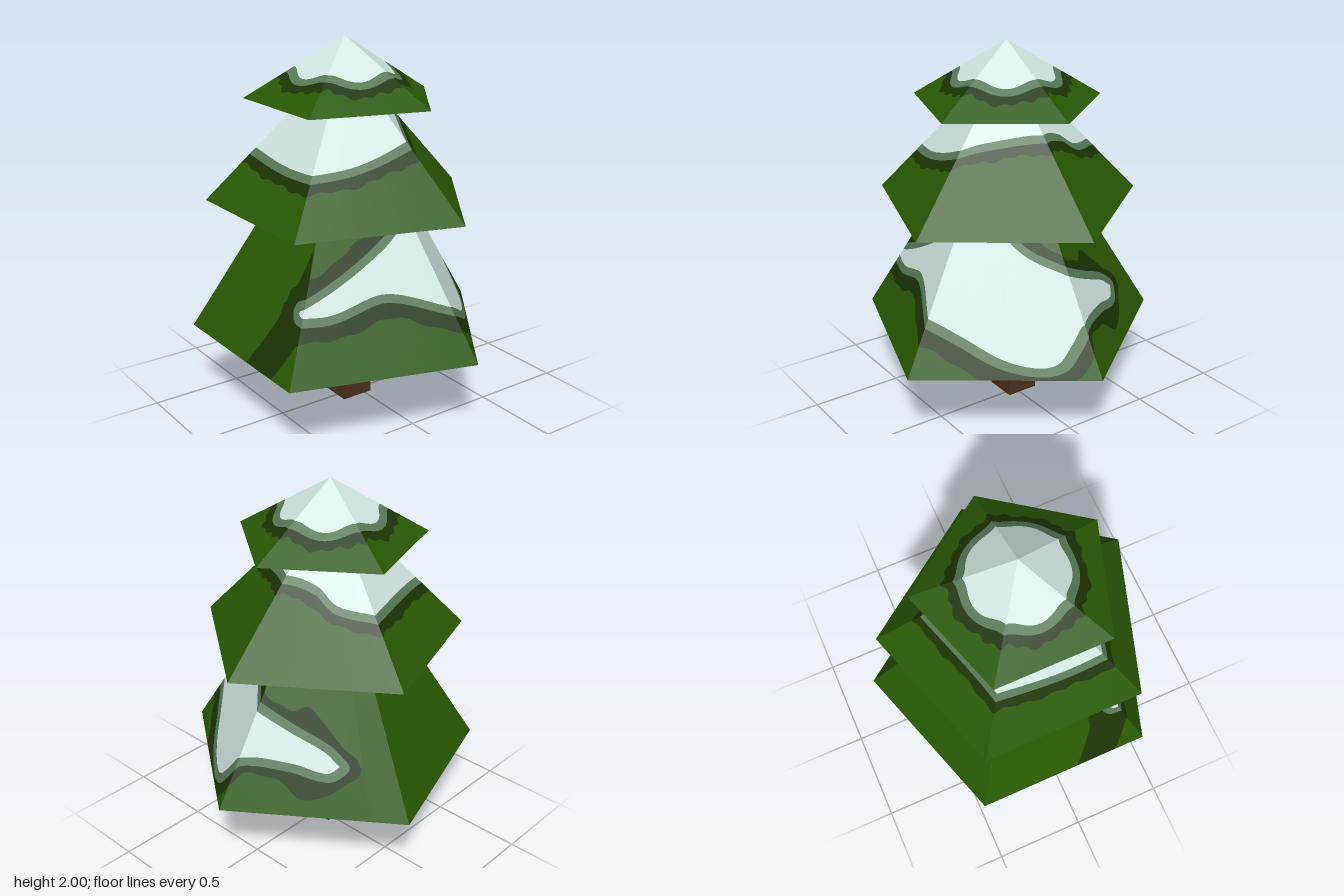
import * as THREE from 'three';

const paint = (name, color) => Object.assign(new THREE.MeshStandardMaterial({ color }), { name });
const mats = {
  needles: paint('needle green', 0x295a03),
  shade: paint('dark green', 0x1b3505),
  frost: paint('frosted green', 0x587a58),
  snow: paint('snow', 0xd3e8e3),
  bark: paint('bark brown', 0x4e301b),
};
const layers = ['needles', 'shade', 'frost', 'snow'];
const AXIS = -0.08;
const STEPS = 60;

// Smooth height along the tier's outline; s = face number + share of the face, from -1 to 4.
// Where the curve does not run it gives the fallback.
const curve = (points, none) => {
  const slopes = points.map((p, i) => {
    const [a, ya] = points[Math.max(i - 1, 0)], [b, yb] = points[Math.min(i + 1, points.length - 1)];
    return (yb - ya) / (b - a);
  });
  return (s) => {
    for (let i = 1; i < points.length; i++) {
      const [a, ya] = points[i - 1], [b, yb] = points[i];
      if (s < a || s > b) continue;
      const w = b - a, u = (s - a) / w, v = 1 - u;
      return v * v * (1 + 2 * u) * ya + u * u * (1 + 2 * v) * yb
        + w * u * v * (v * slopes[i - 1] - u * slopes[i]);
    }
    return none;
  };
};

// Snow edges: a patch on the front faces, then two caps with a wavy rim
const patchLow = curve([[-0.65, 0.65], [-0.57, 0.615], [-0.35, 0.65], [0, 0.66], [0.1, 0.58], [0.21, 0.485],
  [0.33, 0.465], [0.51, 0.5], [0.75, 0.6], [1, 0.685], [1.42, 0.78], [1.81, 0.715], [2.05, 0.72]], Infinity);
const patchHigh = curve([[-0.65, 0.65], [-0.56, 0.71], [-0.31, 0.79], [0, 0.88], [0.3, 0.96], [0.6, 1.08],
  [1, 1.1], [1.36, 0.98], [1.86, 0.8], [2.05, 0.74]], -Infinity);
const middleRim = curve([[-1, 1.43], [-0.65, 1.46], [-0.45, 1.53], [0, 1.57], [0.75, 1.535],
  [1, 1.505], [1.62, 1.416], [2, 1.395], [2.43, 1.39], [3.2, 1.425], [4, 1.43]], Infinity);
const topRim = (s) => 1.823 + 0.018 * Math.cos(s * 2 * Math.PI);

// Width of the dark ring round the patch, with a drip on the back right face
const patchShade = (s) => 0.04 + 0.03 * THREE.MathUtils.smoothstep(s, 0, 0.3)
  + 0.06 * Math.exp(-(((s + 0.45) / 0.12) ** 2));

// Snow patch grown by a rounded margin d
function grown(t, s, d) {
  let lo = Infinity, hi = -Infinity;
  const reach = d / (0.75 * t.radius);
  for (let k = -8; k <= 8; k++) {
    const q = (s + reach * k / 8 + 6) % 5 - 1;
    const h = d * Math.sqrt(1 - (k / 8) ** 2);
    lo = Math.min(lo, t.low(q) - h);
    hi = Math.max(hi, t.high(q) + h);
  }
  return [lo, hi];
}

// Shade, frost and snow ranges on one line from base to apex
function bands(t, s) {
  const wave = 0.005 * (Math.sin(s * 4 * Math.PI) + Math.sin(s * 10 * Math.PI + 1));
  const shade = grown(t, s, t.frost + t.shade(s) + wave);
  // dark streak slanting down to the hem of the right-hand face
  if (t.streak && s > 2 && s < 2.42) {
    shade[0] = Math.min(shade[0], 0.62 - (s - 2) * 1.2);
    shade[1] = Math.max(shade[1], t.base + (2.42 - s) * 1.5);
  }
  return [shade, grown(t, s, t.frost), grown(t, s, 0)];
}

// Nested heights for both sides of a narrow strip; a missing band closes to a point
function stripHeights(t, a, b) {
  const sides = [bands(t, a), bands(t, b)];
  const out = [[[t.base, t.apex]], [[t.base, t.apex]]];
  const middle = ([lo, hi]) => (lo + hi) / 2;
  for (let k = 0; k < 3; k++) {
    for (let i = 0; i < 2; i++) {
      const other = sides[1 - i][k], outer = out[i][k];
      let range = sides[i][k];
      if (range[0] > range[1]) {
        const m = middle(other[0] <= other[1] ? other : outer);
        range = [m, m];
      }
      out[i].push(range.map((y) => THREE.MathUtils.clamp(y, ...outer)));
    }
  }
  return out;
}

// Five-sided pyramid whose faces are cut along the snow edges
function makeTier(t) {
  const group = new THREE.Group();
  group.name = t.name;
  const verts = { needles: [], shade: [], frost: [], snow: [] };

  const point = (s, face, y) => {
    const f = t.radius * (t.apex - y) / (t.apex - t.base);
    const a = face * Math.PI * 2 / 5, b = a + Math.PI * 2 / 5, u = s - face;
    return [AXIS + f * THREE.MathUtils.lerp(Math.cos(a), Math.cos(b), u), y,
      f * THREE.MathUtils.lerp(Math.sin(a), Math.sin(b), u)];
  };

  for (let face = -1; face < 4; face++) {
    for (let i = 0; i < STEPS; i++) {
      const a = face + i / STEPS, b = face + (i + 1) / STEPS;
      const [L, R] = stripHeights(t, a, b);
      const quad = (list, la, ha, lb, hb) => {
        const A = point(a, face, la), B = point(a, face, ha);
        const C = point(b, face, hb), D = point(b, face, lb);
        if (ha - la > 1e-5 && Math.min(ha, hb) < t.apex) list.push(...A, ...B, ...C);
        if (hb - lb > 1e-5) list.push(...A, ...C, ...D);
      };
      // each ring shows below and above the next one in
      for (let k = 0; k < 3; k++) {
        const list = verts[layers[k]];
        quad(list, L[k][0], L[k + 1][0], R[k][0], R[k + 1][0]);
        quad(list, L[k + 1][1], L[k][1], R[k + 1][1], R[k][1]);
      }
      quad(verts.snow, ...L[3], ...R[3]);
    }
    // underside
    verts.needles.push(AXIS, t.base, 0, ...point(face, face, t.base), ...point(face + 1, face, t.base));
  }

  for (const layer of layers) {
    const geometry = new THREE.BufferGeometry();
    geometry.setAttribute('position', new THREE.Float32BufferAttribute(verts[layer], 3));
    geometry.computeVertexNormals();
    const mesh = new THREE.Mesh(geometry, mats[layer]);
    mesh.name = `${t.name} ${layer}`;
    group.add(mesh);
  }
  return group;
}

export function createModel() {
  const tree = new THREE.Group();
  tree.name = 'snowyTree';

  // Square trunk, slightly off the branch axis
  const trunk = new THREE.Mesh(new THREE.BoxGeometry(0.18, 0.5, 0.18), mats.bark);
  trunk.name = 'trunk';
  trunk.position.set(-0.05, 0.25, -0.02);
  tree.add(trunk);

  // Three stacked branch tiers
  tree.add(
    makeTier({ name: 'lowerBranches', base: 0.41, apex: 1.765, radius: 0.837, frost: 0.04, shade: patchShade,
      low: patchLow, high: patchHigh, streak: true }),
    makeTier({ name: 'middleBranches', base: 1.13, apex: 1.905, radius: 0.737, frost: 0.035, shade: () => 0.045,
      low: middleRim, high: () => 1.905 }),
    makeTier({ name: 'topBranches', base: 1.677, apex: 2, radius: 0.522, frost: 0.028, shade: () => 0.033,
      low: topRim, high: () => 2 }),
  );
  return tree;
}
